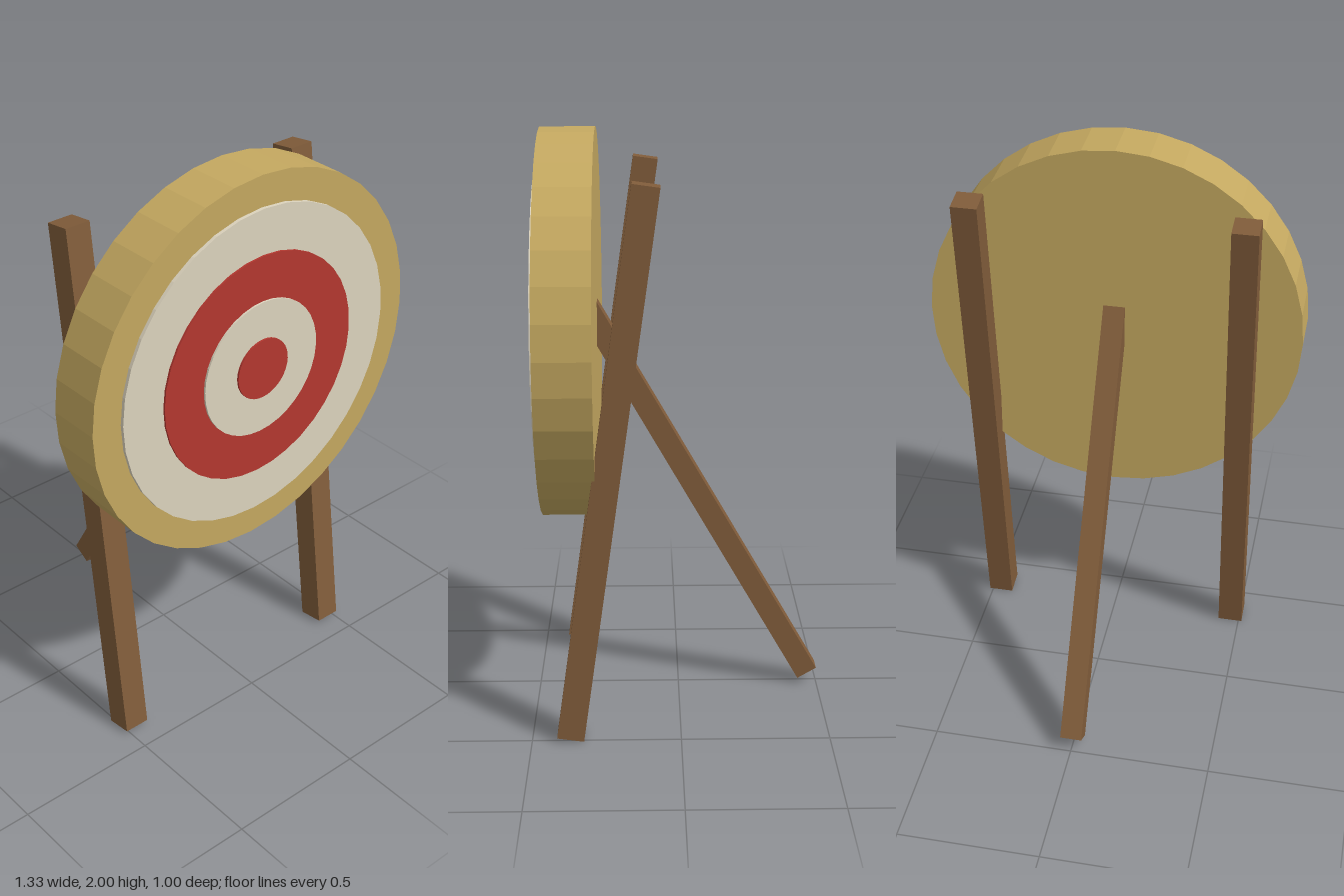
import * as THREE from 'three';

const flat = (name, color) => {
  const m = new THREE.MeshStandardMaterial({ color, flatShading: true });
  m.name = name;
  return m;
};

export function createModel() {
  const straw = flat('straw', 0xc4a860);
  const cream = flat('cream', 0xdcd3bd);
  const red = flat('red', 0xb3372f);
  const wood = flat('wood', 0x805c3a);

  const model = new THREE.Group();
  model.name = 'archeryTarget';
  const centreY = 1.334;

  const add = (name, geometry, material, x, y, z) => {
    const mesh = new THREE.Mesh(geometry, material);
    mesh.name = name;
    mesh.position.set(x, y, z);
    model.add(mesh);
    return mesh;
  };

  // Round slab facing +z, from zBack to zFront
  const disc = (name, radius, zBack, zFront, material) => {
    const geometry = new THREE.CylinderGeometry(radius, radius, zFront - zBack, 36);
    geometry.rotateX(Math.PI / 2);
    add(name, geometry, material, 0, centreY, (zBack + zFront) / 2);
  };

  // Straw boss with stacked scoring discs, each a little prouder
  disc('strawBoss', 0.666, 0.28, 0.467, straw);
  disc('outerCreamRing', 0.558, 0.46, 0.479, cream);
  disc('outerRedRing', 0.4, 0.475, 0.486, red);
  disc('innerCreamRing', 0.241, 0.482, 0.493, cream);
  disc('bullseye', 0.107, 0.489, 0.5, red);

  // Two front posts leaning back
  for (const [name, side] of [['leftFrontLeg', 1], ['rightFrontLeg', -1]]) {
    const leg = add(name, new THREE.BoxGeometry(0.091, 1.867, 0.091), wood, side * 0.467, 0.932, 0.241);
    leg.rotation.x = -0.14;
  }

  // Rear prop, leaning forward into the boss
  const length = 1.6;
  const tilt = Math.PI / 6;
  const prop = add('rearLeg', new THREE.BoxGeometry(0.077, length, 0.077), wood, 0,
    0.041 + Math.cos(tilt) * length / 2, -0.465 + Math.sin(tilt) * length / 2);
  prop.rotation.x = tilt;

  return model;
}
